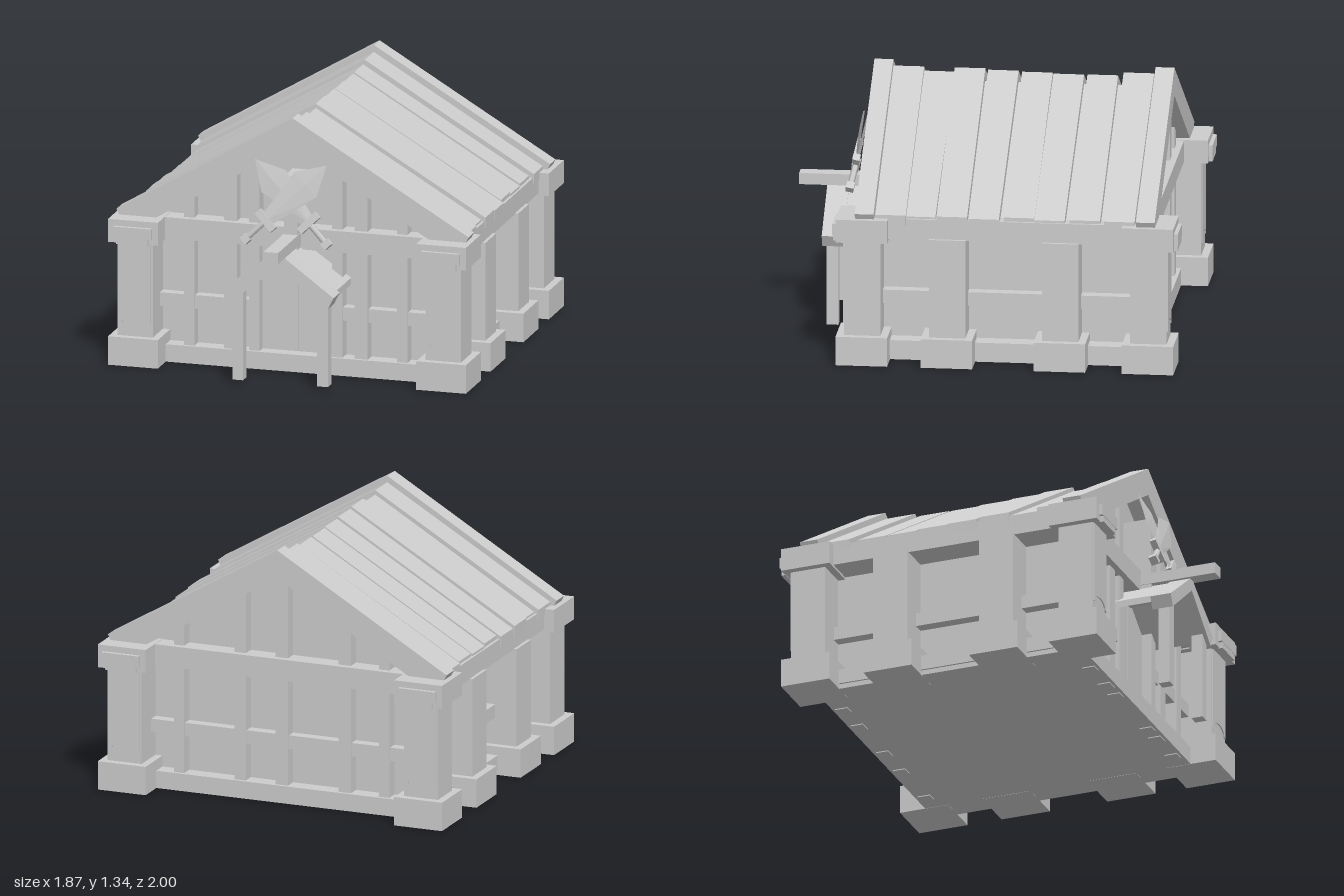
import * as THREE from 'three';
import { ConvexGeometry } from 'three/addons/geometries/ConvexGeometry.js';

const grey = new THREE.MeshStandardMaterial({ color: 0xcccccc });
grey.name = 'plain grey';

function add(parent, name, geometry) {
  const mesh = new THREE.Mesh(geometry, grey);
  mesh.name = name;
  parent.add(mesh);
  return mesh;
}

// Box given by its limits on each axis
function box(parent, name, x0, x1, y0, y1, z0, z1) {
  const mesh = add(parent, name, new THREE.BoxGeometry(x1 - x0, y1 - y0, z1 - z0));
  mesh.position.set((x0 + x1) / 2, (y0 + y1) / 2, (z0 + z1) / 2);
  return mesh;
}

// Outline in x and y, extruded from z0 to z1
function prism(parent, name, points, z0, z1) {
  const shape = new THREE.Shape(points.map(([x, y]) => new THREE.Vector2(x, y)));
  const geometry = new THREE.ExtrudeGeometry(shape, { depth: z1 - z0, bevelEnabled: false });
  geometry.translate(0, 0, z0);
  return add(parent, name, geometry);
}

// Inverted V: apex height, half width, slope and vertical thickness
function chevron(parent, name, apex, w, slope, t, z0, z1) {
  const y = apex - w * slope;
  return prism(parent, name,
    [[0, apex], [-w, y], [-w, y - t], [0, apex - t], [w, y - t], [w, y]], z0, z1);
}

function pillar(parent, name, x, z) {
  const group = new THREE.Group();
  group.name = name;
  group.position.set(x, 0, z);
  parent.add(group);
  box(group, 'pillarBase', -0.13, 0.13, 0.004, 0.152, -0.13, 0.13);
  box(group, 'pillarShaft', -0.092, 0.092, 0.15, 0.66, -0.092, 0.092);
  return group;
}

// Hanging strip with a scooped lower edge and a wider top bar
function banner(parent, x) {
  box(parent, 'bannerBar', x - 0.1, x + 0.1, 0.672, 0.73, 0.845, 0.87);
  box(parent, 'bannerTop', x - 0.082, x + 0.082, 0.64, 0.672, 0.845, 0.868);
  const points = [[x - 0.083, 0.645], [x - 0.083, 0.215]];
  for (let i = 0; i <= 8; i++) {
    const a = Math.PI * (1 - i / 8);
    points.push([x + 0.068 * Math.cos(a), 0.22 + 0.04 * Math.sin(a)]);
  }
  points.push([x + 0.083, 0.215], [x + 0.083, 0.645]);
  prism(parent, 'bannerStrip', points, 0.811, 0.818);
}

// One gable end facing +z; studs are listed as centre and width
function gableEnd(parent, name, studs, doorHalf) {
  const end = new THREE.Group();
  end.name = name;
  parent.add(end);
  box(end, 'crossBeam', -0.7, 0.7, 0.65, 0.76, 0.6, 0.73);
  for (const [c, w] of studs) {
    const x0 = c - w / 2, x1 = c + w / 2;
    const top = (x) => 1.22 - 0.6 * Math.abs(x);
    const outline = [[x0, 0], [x1, 0], [x1, top(x1)], [x0, top(x0)]];
    if (x0 < 0 && x1 > 0) outline.splice(3, 0, [0, top(0)]);
    prism(end, 'wallStud', outline, 0.632, 0.698);
  }
  for (const s of [-1, 1]) {
    const corner = pillar(end, 'cornerPillar', s * 0.805, 0.72);
    box(corner, 'pillarCapital', -0.13, 0.13, 0.643, 0.762, -0.13, 0.13);
    banner(end, s * 0.805);
    const a = s * doorHalf, b = s * 0.72;
    box(end, 'wallRail', Math.min(a, b), Math.max(a, b), 0.285, 0.355, 0.62, 0.688);
  }
  // Trim along the roof edge
  prism(end, 'gableTrim', [[0, 1.335], [-0.92, 0.79], [-0.905, 0.76], [-0.715, 0.76],
    [0, 1.19], [0.715, 0.76], [0.905, 0.76], [0.92, 0.79]], 0.66, 0.755);
  return end;
}

function sword(parent, s, z) {
  const group = new THREE.Group();
  group.name = 'crossedSword';
  const points = [];
  const t = 0.006;
  for (const [u, w] of [[0, 0.035], [0.27, 0.085]]) {
    points.push(new THREE.Vector3(-w, u, 0), new THREE.Vector3(w, u, 0),
      new THREE.Vector3(0, u, t), new THREE.Vector3(0, u, -t));
  }
  points.push(new THREE.Vector3(0, 0.417, 0));
  add(group, 'blade', new ConvexGeometry(points));
  box(group, 'guard', -0.062, 0.062, -0.025, 0.012, -0.016, 0.016);
  const grip = add(group, 'grip', new THREE.CylinderGeometry(0.016, 0.016, 0.12, 6));
  grip.position.y = -0.075;
  box(group, 'pommel', -0.022, 0.022, -0.165, -0.128, -0.02, 0.02);
  group.rotation.z = -s * Math.PI / 4;
  // Lean the sword back against the gable
  const lean = new THREE.Group();
  lean.name = 'swordMount';
  lean.position.set(-s * 0.105, 0.825, z);
  lean.rotation.x = -0.2;
  lean.add(group);
  parent.add(lean);
}

export function createModel() {
  const model = new THREE.Group();
  model.name = 'timberHall';
  const house = new THREE.Group();
  house.name = 'house';
  house.position.z = -0.13;
  model.add(house);

  // Solid walls and floor
  prism(house, 'walls', [[-0.72, 0.05], [0.72, 0.05], [0.72, 0.76], [0, 1.2], [-0.72, 0.76]], -0.633, 0.633);
  box(house, 'floorPlinth', -0.8, 0.8, 0.005, 0.095, -0.715, 0.715);

  gableEnd(house, 'frontGable', [[-0.557, 0.055], [-0.342, 0.068], [-0.217, 0.055],
    [0.217, 0.055], [0.342, 0.068], [0.557, 0.055]], 0.2);
  gableEnd(house, 'backGable', [[-0.557, 0.055], [-0.225, 0.06], [0, 0.068],
    [0.342, 0.068], [0.557, 0.055]], 0).rotation.y = Math.PI;

  // Long sides
  for (const s of [-1, 1]) {
    for (const z of [-0.277, 0.292]) pillar(house, 'sidePillar', s * 0.805, z);
    const side = (name, x0, x1, y0, y1) =>
      box(house, name, Math.min(s * x0, s * x1), Math.max(s * x0, s * x1), y0, y1, -0.63, 0.63);
    side('eavesBeam', 0.7, 0.88, 0.655, 0.76);
    side('sideRail', 0.7, 0.78, 0.29, 0.36);
    side('sidePlinth', 0.7, 0.81, 0.03, 0.107);
  }

  // Roof underlay and uneven planks: apex, half width, centre z, yaw
  chevron(house, 'roofUnderlay', 1.235, 0.86, 0.59, 0.05, -0.7, 0.7);
  const planks = [
    [1.302, 0.885, 0.582, 0.004], [1.28, 0.865, 0.427, -0.005],
    [1.302, 0.885, 0.274, 0.005], [1.295, 0.885, 0.106, -0.004],
    [1.29, 0.865, -0.065, 0.003], [1.285, 0.87, -0.223, -0.004],
    [1.286, 0.865, -0.394, 0.004], [1.302, 0.885, -0.576, -0.003],
  ];
  for (const [apex, w, z, yaw] of planks) {
    const plank = chevron(house, 'roofPlank', apex, w, 0.59, 0.055, -0.077, 0.077);
    plank.position.z = z;
    plank.rotation.y = yaw;
  }

  // Double door
  for (const s of [-1, 1]) {
    box(model, 'doorLeaf', s > 0 ? 0.002 : -0.195, s > 0 ? 0.195 : -0.002, 0.01, 0.645, 0.48, 0.515);
  }

  // Porch
  const porch = new THREE.Group();
  porch.name = 'porch';
  model.add(porch);
  prism(porch, 'porchFrontRoof', [[0, 0.695], [-0.285, 0.485], [-0.255, 0.425],
    [0, 0.622], [0.255, 0.425], [0.285, 0.485]], 0.75, 0.86);
  chevron(porch, 'porchRearRoof', 0.685, 0.27, 0.7, 0.035, 0.5, 0.75);
  for (const s of [-1, 1]) {
    box(porch, 'porchPost', s * 0.222 - 0.028, s * 0.222 + 0.028, 0.015, 0.47, 0.78, 0.84);
  }
  box(porch, 'ridgeBeam', -0.038, 0.038, 0.68, 0.738, 0.5, 1);
  box(porch, 'swordPost', -0.035, 0.035, 0.6, 1.04, 0.5, 0.655);

  sword(model, 1, 0.72);
  sword(model, -1, 0.704);
  return model;
}
